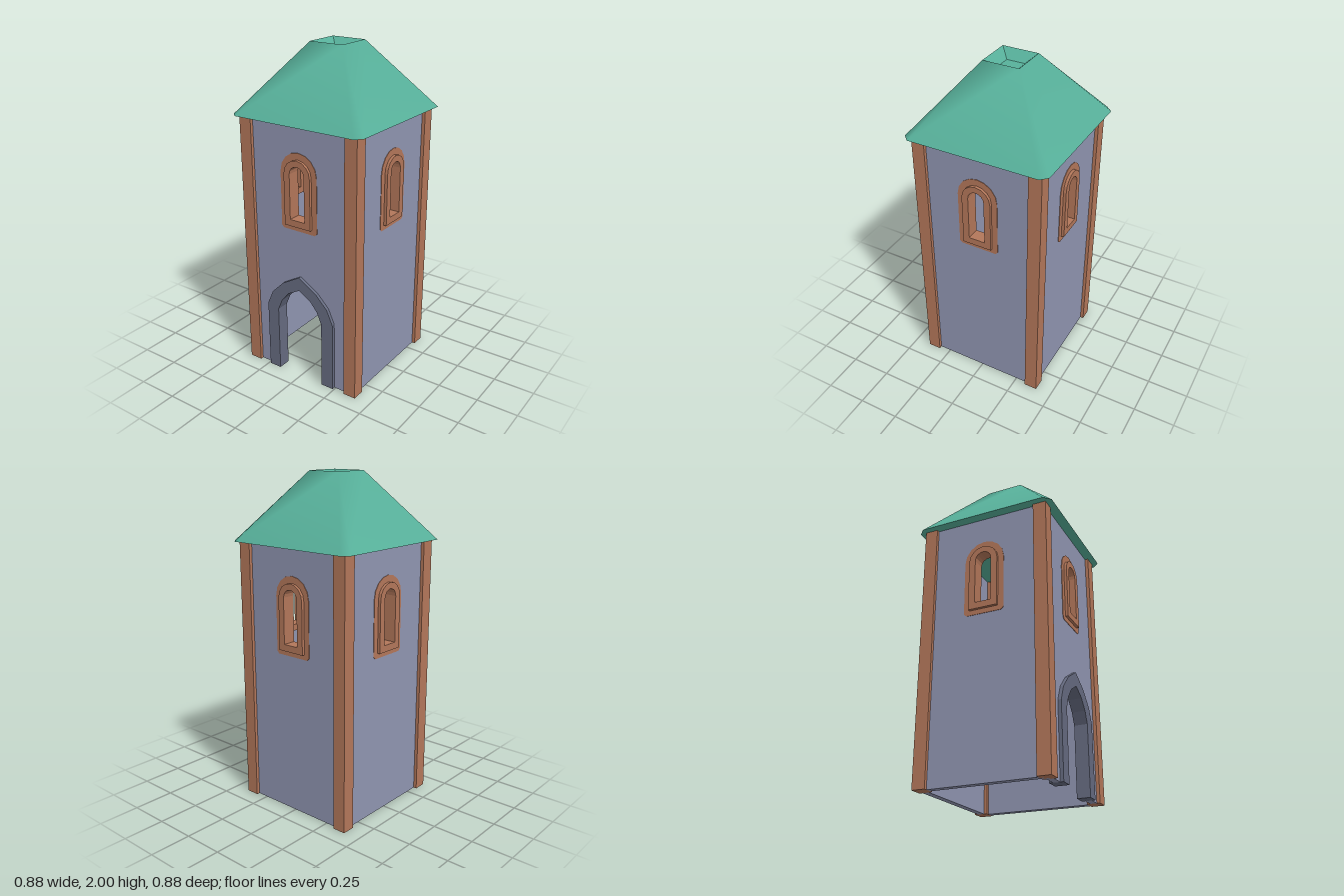
import * as THREE from 'three';

const mat = (name, color) => {
  const m = new THREE.MeshStandardMaterial({ color });
  m.name = name;
  return m;
};

// Join two rings of [x, y, z] points; pick maps the lower index to the upper one
function loft(lower, upper, pick) {
  const n = lower.length, index = [];
  for (let i = 0; i < n; i++) {
    const j = (i + 1) % n, a = n + pick(i), b = n + pick(j);
    index.push(i, j, b);
    if (a !== b) index.push(i, b, a);
  }
  return surface([...lower, ...upper], index);
}

function surface(points, index) {
  const g = new THREE.BufferGeometry();
  g.setAttribute('position', new THREE.Float32BufferAttribute(points.flat(), 3));
  g.setIndex(index);
  g.computeVertexNormals();
  return g;
}

function cap(points, up) {
  const index = [];
  for (let i = 1; i < points.length - 1; i++) index.push(0, ...(up ? [i, i + 1] : [i + 1, i]));
  return surface(points, index);
}

// Repeat corner points [x, z] around the four quarters at height y
function quarters(corner, y) {
  const ring = [];
  for (let k = 0; k < 4; k++) {
    for (const [x, z] of corner) ring.push([[x, y, z], [z, y, -x], [-x, y, -z], [-z, y, x]][k]);
  }
  return ring;
}

// Round-headed outline with optional cut lower corners
function windowOutline(w, bottom, spring, cut = 0) {
  const p = [];
  if (cut) p.push([-w, bottom + cut], [-w + cut, bottom], [w - cut, bottom], [w, bottom + cut]);
  else p.push([-w, bottom], [w, bottom]);
  for (let i = 0; i <= 8; i++) {
    const a = Math.PI * i / 8;
    p.push([w * Math.cos(a), spring + w * Math.sin(a)]);
  }
  return p.map(([x, y]) => new THREE.Vector2(x, y));
}

// Pointed arch: right half listed from the ground up, mirrored to the left
const archOutline = (half) => [
  ...half, ...half.slice(0, -1).reverse().map(([x, y]) => [-x, y]),
].map(([x, y]) => new THREE.Vector2(x, y));

function extrude(outline, hole, z0, z1) {
  const shape = new THREE.Shape(outline);
  if (hole) shape.holes.push(new THREE.Path(hole));
  const g = new THREE.ExtrudeGeometry(shape, { depth: z1 - z0, bevelEnabled: false });
  return g.translate(0, 0, z0);
}

export function createModel() {
  const wallMat = mat('slate blue wall', 0x9095b1);
  const trimMat = mat('terracotta trim', 0xb3775a);
  const roofMat = mat('green roof', 0x57b09a);
  const stoneMat = mat('dark grey stone', 0x666b80);

  const tower = new THREE.Group();
  tower.name = 'tower';
  const add = (parent, name, geometry, material) => {
    const m = new THREE.Mesh(geometry, material);
    m.name = name;
    parent.add(m);
    return m;
  };

  const doorOuter = archOutline([[0.24, 0], [0.24, 0.44], [0.2, 0.53], [0.12, 0.61], [0, 0.68]]);
  const doorInner = archOutline([[0.16, 0], [0.16, 0.42], [0.13, 0.49], [0.08, 0.55], [0, 0.595]]);
  const doorCut = archOutline([[0.2, 0], [0.2, 0.43], [0.165, 0.51], [0.1, 0.58], [0, 0.637]]);
  const windowCut = windowOutline(0.07, 1.02, 1.31);
  const windowHole = windowOutline(0.05, 1.04, 1.313);

  // Four walls, each with a window; the front one also has the doorway
  const corners = [[0.34, 0], [0.34, 1.6], [-0.34, 1.6], [-0.34, 0]].map(([x, y]) => new THREE.Vector2(x, y));
  ['front', 'left', 'back', 'right'].forEach((side, k) => {
    const group = new THREE.Group();
    group.name = side + 'Side';
    group.rotation.y = k * Math.PI / 2;
    tower.add(group);
    const outline = k === 0 ? [...corners, ...doorCut.slice().reverse()] : corners;
    add(group, 'wall', extrude(outline, windowCut, 0.34, 0.38), wallMat);
    add(group, 'windowSurround', extrude(windowOutline(0.125, 0.97, 1.315, 0.015), windowCut, 0.378, 0.383), trimMat);
    add(group, 'windowFrame', extrude(windowOutline(0.09, 1.0, 1.31), windowHole, 0.32, 0.4), trimMat);

    // Corner post
    add(group, 'cornerPost', new THREE.BoxGeometry(0.08, 1.6, 0.08).translate(0.36, 0.8, 0.36), trimMat);
  });

  // Pointed stone door frame, open at the ground
  add(tower, 'doorFrame', extrude([...doorOuter, ...doorInner.slice().reverse()], null, 0.32, 0.4), stoneMat);

  // Roof with clipped corners and a sunken square top
  const roof = new THREE.Group();
  roof.name = 'roof';
  tower.add(roof);
  const eave = quarters([[0.4, 0.44], [0.44, 0.4]], 1.6);
  const rim = quarters([[0.11, 0.11]], 2);
  const pit = quarters([[0.055, 0.055]], 1.95);
  add(roof, 'roofSlopes', loft(eave, rim, (i) => Math.floor(i / 2)), roofMat);
  add(roof, 'roofUnderside', cap(eave, false), roofMat);
  const funnel = loft(rim, pit, (i) => i).toNonIndexed();
  funnel.computeVertexNormals();
  add(roof, 'sunkenTopSides', funnel, roofMat);
  add(roof, 'sunkenTopFloor', cap(pit, true), roofMat);

  return tower;
}
